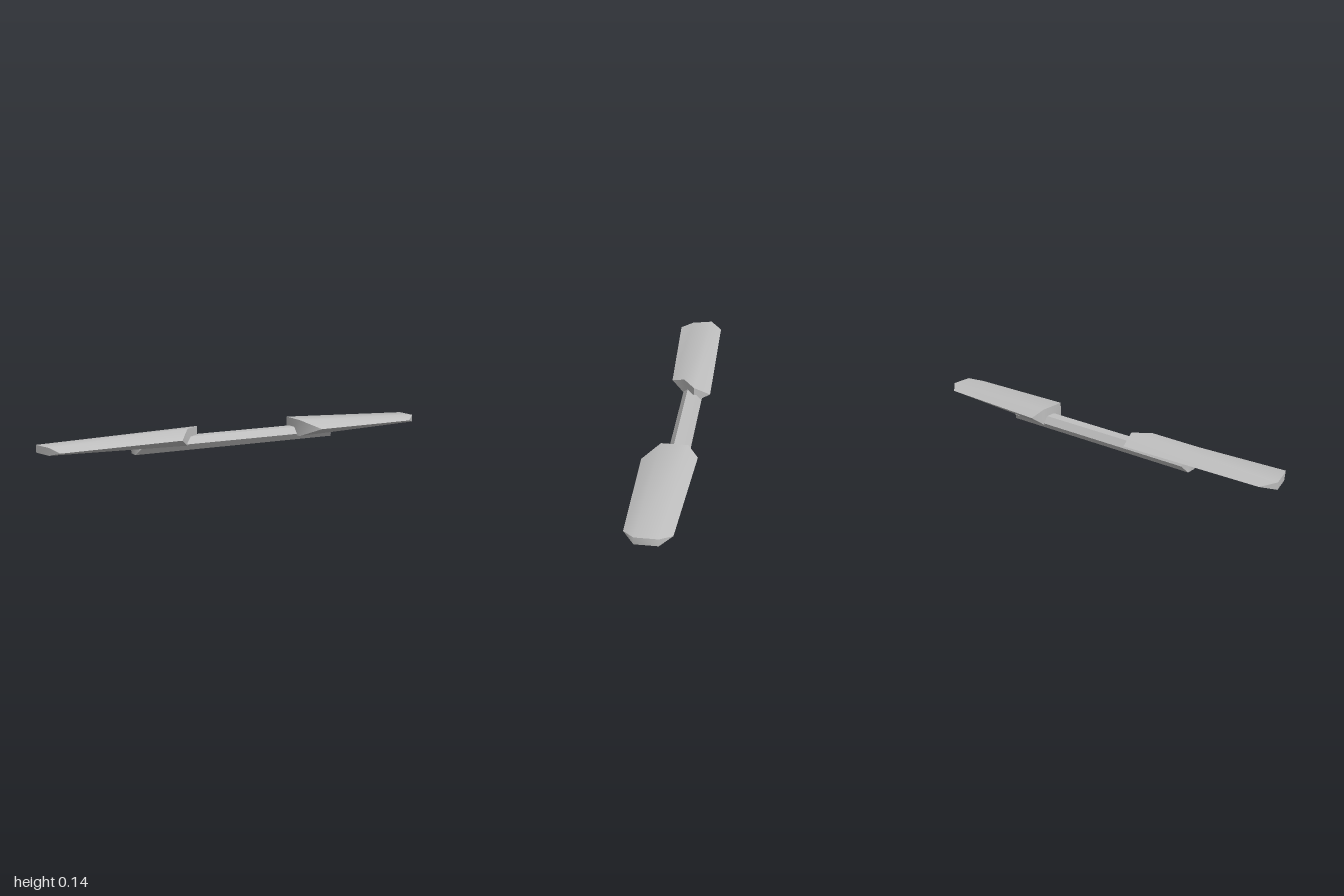
import * as THREE from 'three';
import { toCreasedNormals } from 'three/addons/utils/BufferGeometryUtils.js';

// Six-sided end ring. corners: four [along, across] points running edge, crest, crest, edge.
function ring(corners, low, high) {
  const mid = (low + high) / 2;
  const at = (i, y) => {
    const [a, p] = corners[i];
    return [(a + p) * Math.SQRT1_2, y, (p - a) * Math.SQRT1_2]; // diagonal axis to x, y, z
  };
  return [at(0, mid), at(1, high), at(2, high), at(3, mid), at(2, low), at(1, low)];
}

// Flattened hexagonal bar between two rings, closed by pointed ends
function hexBar(name, material, start, end) {
  const positions = [];
  const tri = (a, b, c) => positions.push(...a, ...b, ...c);
  for (let i = 0; i < 6; i++) {
    const j = (i + 1) % 6;
    tri(start[i], start[j], end[j]);
    tri(start[i], end[j], end[i]);
  }
  for (const [a, b, c] of [[0, 1, 5], [1, 2, 4], [1, 4, 5], [2, 3, 4]]) {
    tri(end[a], end[b], end[c]);
    tri(start[c], start[b], start[a]);
  }
  const geometry = new THREE.BufferGeometry();
  geometry.setAttribute('position', new THREE.Float32BufferAttribute(positions, 3));
  const mesh = new THREE.Mesh(toCreasedNormals(geometry, 0.85), material);
  mesh.name = name;
  return mesh;
}

export function createModel() {
  const group = new THREE.Group();
  group.name = 'paddle';
  const grey = new THREE.MeshStandardMaterial({ color: 0xbfbfbf });
  grey.name = 'light grey';

  // Central shaft
  const shaftEnd = (s) => ring(
    [[0.69 * s, 0.014], [0.72 * s, -0.019], [0.72 * s, -0.087], [0.69 * s, -0.12]], 0, 0.085);
  group.add(hexBar('shaft', grey, shaftEnd(1), shaftEnd(-1)));

  // Blades: thick at the inner end, thinner at the tip
  group.add(hexBar('backBlade', grey,
    ring([[1.26, 0.141], [1.34, 0.07], [1.34, -0.07], [1.27, -0.141]], 0.063, 0.11),
    ring([[0.537, 0.156], [0.43, 0.05], [0.43, -0.12], [0.48, -0.184]], 0.033, 0.14)));
  group.add(hexBar('frontBlade', grey,
    ring([[-0.453, 0.099], [-0.375, 0.007], [-0.269, -0.07], [-0.29, -0.177]], 0.033, 0.14),
    ring([[-1.26, 0.141], [-1.3, 0.057], [-1.336, -0.078], [-1.26, -0.156]], 0.063, 0.11)));

  return group;
}
